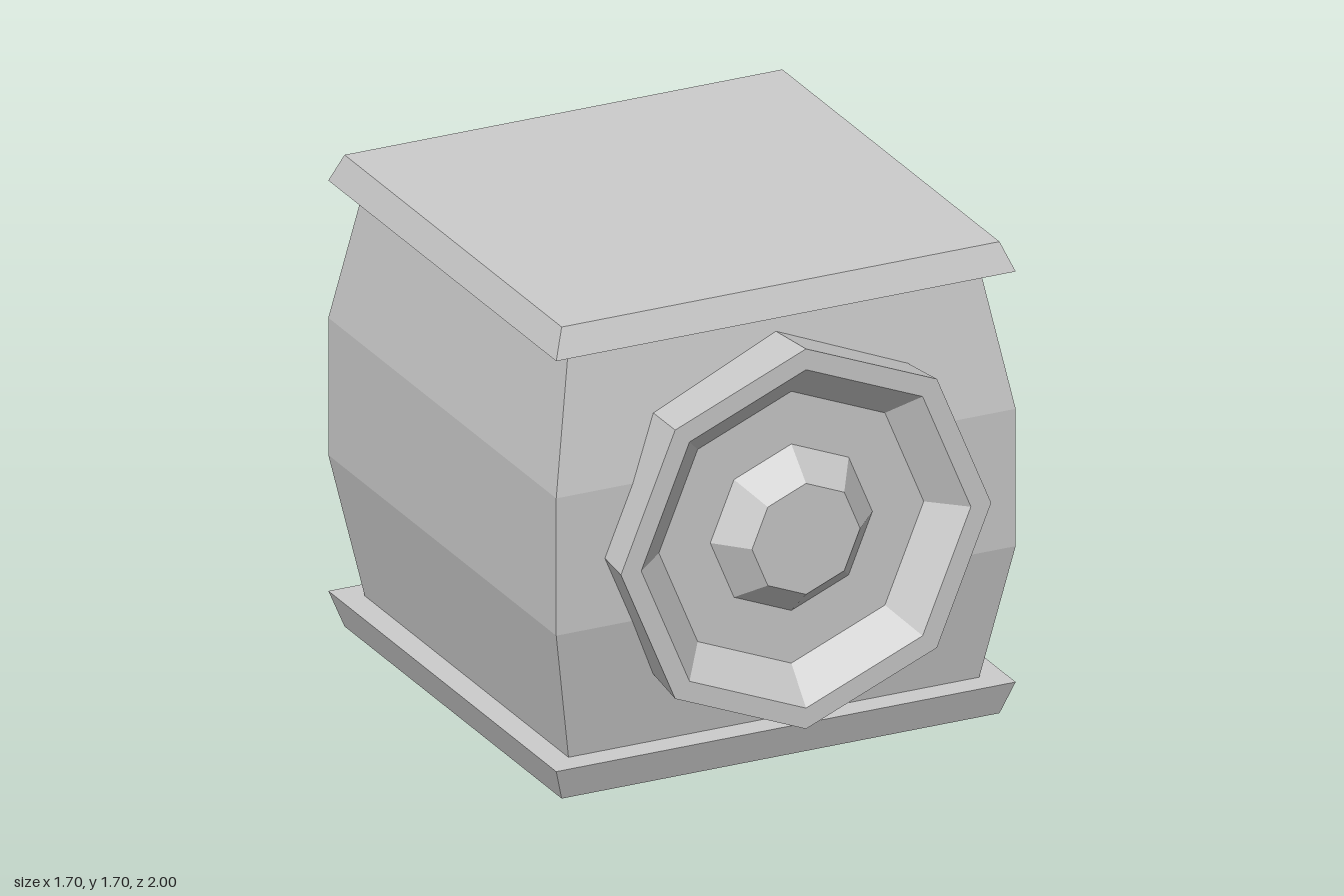
import * as THREE from 'three';

const material = new THREE.MeshStandardMaterial({ color: 0xcccccc, flatShading: true });

// Faceted solid: a [radius, height] profile turned with a few sides
function turned(name, profile, sides, phiStart = 0, scale = 1) {
  const points = profile.map(([r, h]) => new THREE.Vector2(r * scale, h));
  const mesh = new THREE.Mesh(new THREE.LatheGeometry(points, sides, phiStart), material);
  mesh.name = name;
  return mesh;
}

// Square solid: the profile gives [half width, height]
const square = (name, profile) => turned(name, profile, 4, Math.PI / 4, Math.SQRT2);

export function createModel() {
  const group = new THREE.Group();
  group.name = 'barrelBox';

  // Bulging square body
  group.add(square('body', [[0, 0.1], [0.76, 0.12], [0.85, 0.61], [0.85, 1.105], [0.76, 1.6], [0, 1.62]]));

  // Plates with edges flaring towards the body
  group.add(square('basePlate', [[0, 0], [0.81, 0], [0.85, 0.12], [0, 0.12]]));
  group.add(square('topPlate', [[0, 1.6], [0.85, 1.6], [0.81, 1.7], [0, 1.7]]));

  // Octagonal dishes with a raised hub, front and back
  const dish = [[0.655, 0.7], [0.685, 1], [0.61, 1], [0.49, 0.89], [0.3, 0.89], [0.2, 1], [0, 1]];
  for (const [name, side] of [['frontDish', 1], ['backDish', -1]]) {
    const mesh = turned(name, dish, 8);
    mesh.rotation.x = side * Math.PI / 2;
    mesh.position.y = 0.855;
    group.add(mesh);
  }
  return group;
}
